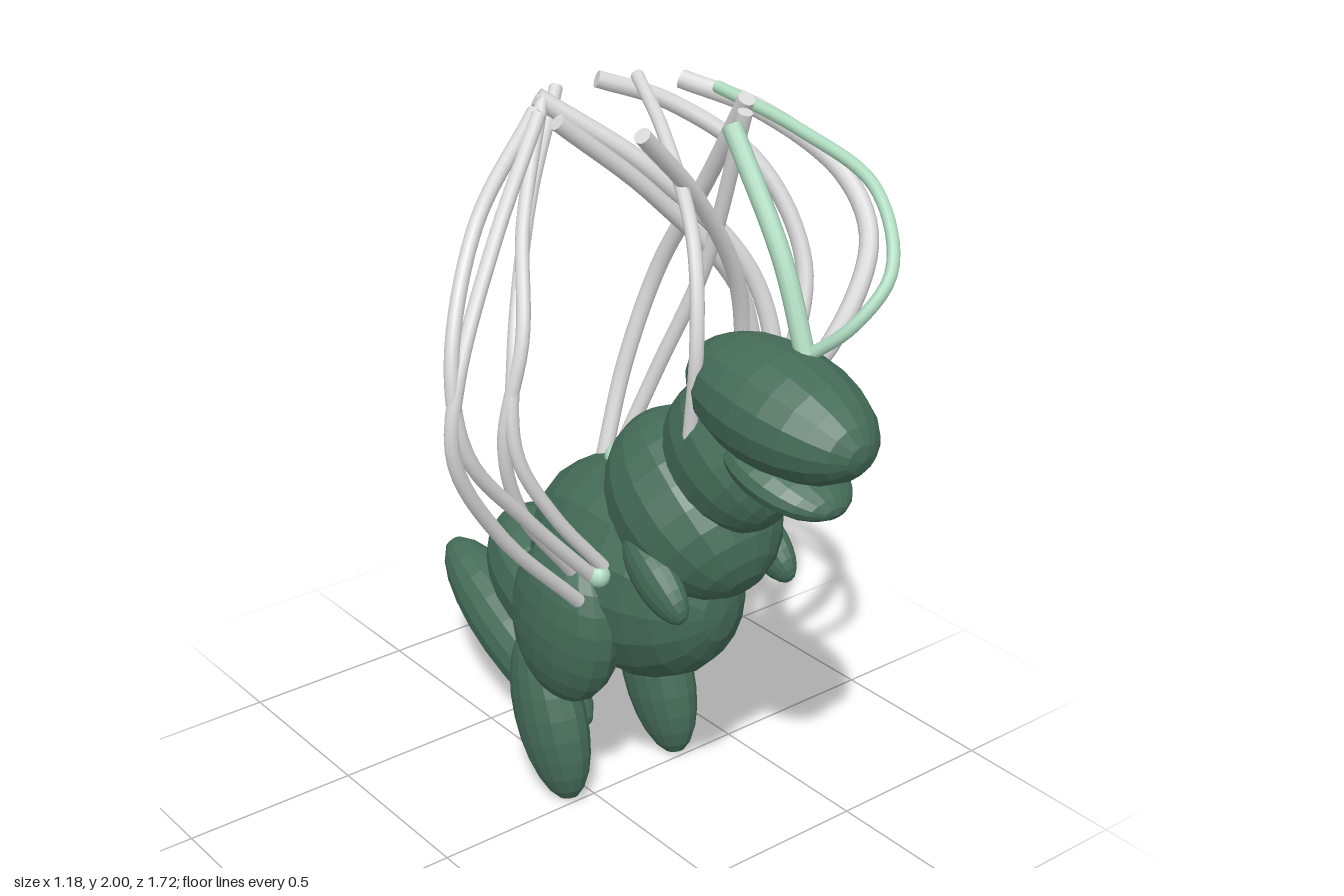
import * as THREE from 'three';

const green = new THREE.MeshStandardMaterial({ color: 0x446b58, flatShading: true });
green.name = 'dark green';
const mint = new THREE.MeshStandardMaterial({ color: 0xaedabf });
mint.name = 'mint';
const grey = new THREE.MeshStandardMaterial({ color: 0xd8d8d8 });
grey.name = 'light grey';

const MID = 0.12; // x of the body's plane of symmetry
const V = (p) => new THREE.Vector3(...p);

export function createModel() {
  const model = new THREE.Group();
  model.name = 'balloonDinosaur';

  const ballGeometry = new THREE.SphereGeometry(1, 16, 12).rotateX(Math.PI / 2);

  // Ellipsoid with its long axis along z; a positive tilt in degrees raises its back end
  function ball(name, dx, y, z, width, height, length, tilt) {
    const mesh = new THREE.Mesh(ballGeometry, green);
    mesh.name = name;
    mesh.position.set(MID + dx, y, z);
    mesh.scale.set(width, height, length);
    mesh.rotation.x = THREE.MathUtils.degToRad(tilt);
    model.add(mesh);
  }

  // Head, neck and trunk
  ball('head', 0, 1.363, 0.572, 0.173, 0.15, 0.293, 7);
  ball('jaw', 0, 1.21, 0.6, 0.14, 0.066, 0.19, 16);
  ball('neck', 0, 1.175, 0.4, 0.152, 0.19, 0.205, 38);
  ball('chest', 0, 0.99, 0.262, 0.22, 0.212, 0.268, 38);
  ball('belly', 0, 0.71, 0.03, 0.233, 0.302, 0.362, 0);

  // Tail
  ball('tailBase', 0, 0.505, -0.305, 0.18, 0.172, 0.285, 25);
  ball('tailTip', 0, 0.25, -0.525, 0.114, 0.112, 0.375, 26.5);

  // Limbs
  for (const [side, s] of [['left', 1], ['right', -1]]) {
    ball(side + 'Arm', s * 0.182, 0.857, 0.332, 0.05, 0.071, 0.138, 35);
    ball(side + 'Thigh', s * 0.2, 0.585, -0.022, 0.105, 0.2, 0.244, -80);
    ball(side + 'LowerLeg', s * 0.193, 0.247, -0.105, 0.087, 0.127, 0.253, 70);
  }

  // Cord through a few points, from its anchor up to the flat cut end
  function cord(name, radius, material, points) {
    const curve = new THREE.CatmullRomCurve3(points.map(V));
    const group = new THREE.Group();
    group.name = name;
    group.add(new THREE.Mesh(new THREE.TubeGeometry(curve, 40, radius, 10), material));
    for (const t of [0, 1]) {
      const cap = new THREE.Mesh(new THREE.CircleGeometry(radius, 10), material);
      const out = curve.getTangent(t).multiplyScalar(t ? 1 : -1);
      cap.position.copy(curve.getPoint(t));
      cap.quaternion.setFromUnitVectors(new THREE.Vector3(0, 0, 1), out);
      group.add(cap);
    }
    model.add(group);
  }

  // Head cords
  cord('headCordStraight', 0.025, mint, [[0.17, 1.48, 0.6], [0.175, 1.7, 0.5], [0.18, 1.98, 0.3]]);
  cord('headCordCurved', 0.016, mint, [[0.17, 1.48, 0.59], [0.23, 1.58, 0.69], [0.32, 1.7, 0.715],
    [0.4, 1.85, 0.57], [0.4, 1.93, 0.3], [0.375, 1.98, 0.02]]);

  // Neck cords
  cord('neckCordLeft', 0.025, grey, [[0.25, 1.235, 0.37], [0.39, 1.42, 0.455], [0.53, 1.65, 0.43],
    [0.55, 1.79, 0.31], [0.46, 1.92, 0.1], [0.35, 1.98, -0.09]]);
  cord('neckCordRight', 0.018, grey, [[0.0, 1.235, 0.38], [0.0, 1.5, 0.4], [0.06, 1.72, 0.31],
    [0.18, 1.9, 0.05], [0.28, 1.98, -0.18]]);

  // Chest and hip cords on the left side
  cord('chestCordLeft', 0.023, grey, [[0.35, 0.99, 0.25], [0.46, 1.22, 0.22], [0.57, 1.5, 0.16],
    [0.52, 1.75, 0.03], [0.35, 1.91, -0.13], [0.18, 1.98, -0.22]]);
  cord('hipCordLeftFront', 0.025, grey, [[0.37, 0.81, 0.2], [0.44, 1.2, 0.21], [0.41, 1.5, 0.14],
    [0.2, 1.78, 0.0], [-0.04, 1.98, -0.18]]);
  cord('hipCordLeftMiddle', 0.022, grey, [[0.36, 0.78, 0.09], [0.44, 1.15, 0.12], [0.39, 1.45, 0.12],
    [0.14, 1.75, 0.07], [-0.13, 1.98, 0.025]]);
  cord('hipCordLeftBack', 0.022, grey, [[0.36, 0.79, 0.0], [0.42, 1.15, 0.08], [0.36, 1.48, 0.14],
    [0.18, 1.76, 0.19], [-0.04, 1.98, 0.235]]);

  // Chest and hip cords on the right side
  cord('chestCordRight', 0.018, grey, [[-0.11, 0.84, 0.18], [-0.26, 1.03, 0.17], [-0.355, 1.22, 0.15],
    [-0.33, 1.45, 0.11], [-0.17, 1.76, -0.04], [0.05, 1.98, -0.22]]);
  cord('hipCordRightInner', 0.018, grey, [[-0.13, 0.79, 0.07], [-0.31, 1.03, 0.1], [-0.37, 1.24, 0.12],
    [-0.31, 1.5, 0.12], [-0.21, 1.72, -0.01], [-0.03, 1.98, -0.17]]);
  cord('hipCordRightFront', 0.019, grey, [[-0.13, 0.81, 0.17], [-0.35, 1.05, 0.18], [-0.53, 1.28, 0.195],
    [-0.55, 1.5, 0.17], [-0.4, 1.78, 0.06], [-0.12, 1.98, -0.08]]);
  cord('hipCordRightBack', 0.019, grey, [[-0.16, 0.74, 0.14], [-0.42, 1.02, 0.17], [-0.565, 1.28, 0.19],
    [-0.54, 1.47, 0.18], [-0.36, 1.74, 0.08], [-0.13, 1.98, -0.05]]);

  // Back cords
  cord('backCordFront', 0.02, grey, [[0.12, 0.99, -0.06], [0.21, 1.25, 0.0], [0.28, 1.55, 0.1],
    [0.28, 1.98, 0.235]]);
  cord('backCordRear', 0.023, grey, [[0.19, 0.91, -0.205], [0.28, 1.17, -0.225], [0.36, 1.45, -0.18],
    [0.38, 1.72, -0.02], [0.36, 1.98, 0.15]]);

  // Knots where cords meet the body
  const knots = [
    [0.12, 1.0, -0.06, mint], [0.35, 0.995, 0.25, mint], [-0.125, 0.82, 0.18, mint], [0.37, 0.815, 0.2, grey],
  ];
  for (const [x, y, z, material] of knots) {
    const knot = new THREE.Mesh(new THREE.SphereGeometry(0.031, 12, 8), material);
    knot.name = 'knot';
    knot.position.set(x, y, z);
    model.add(knot);
  }

  return model;
}
